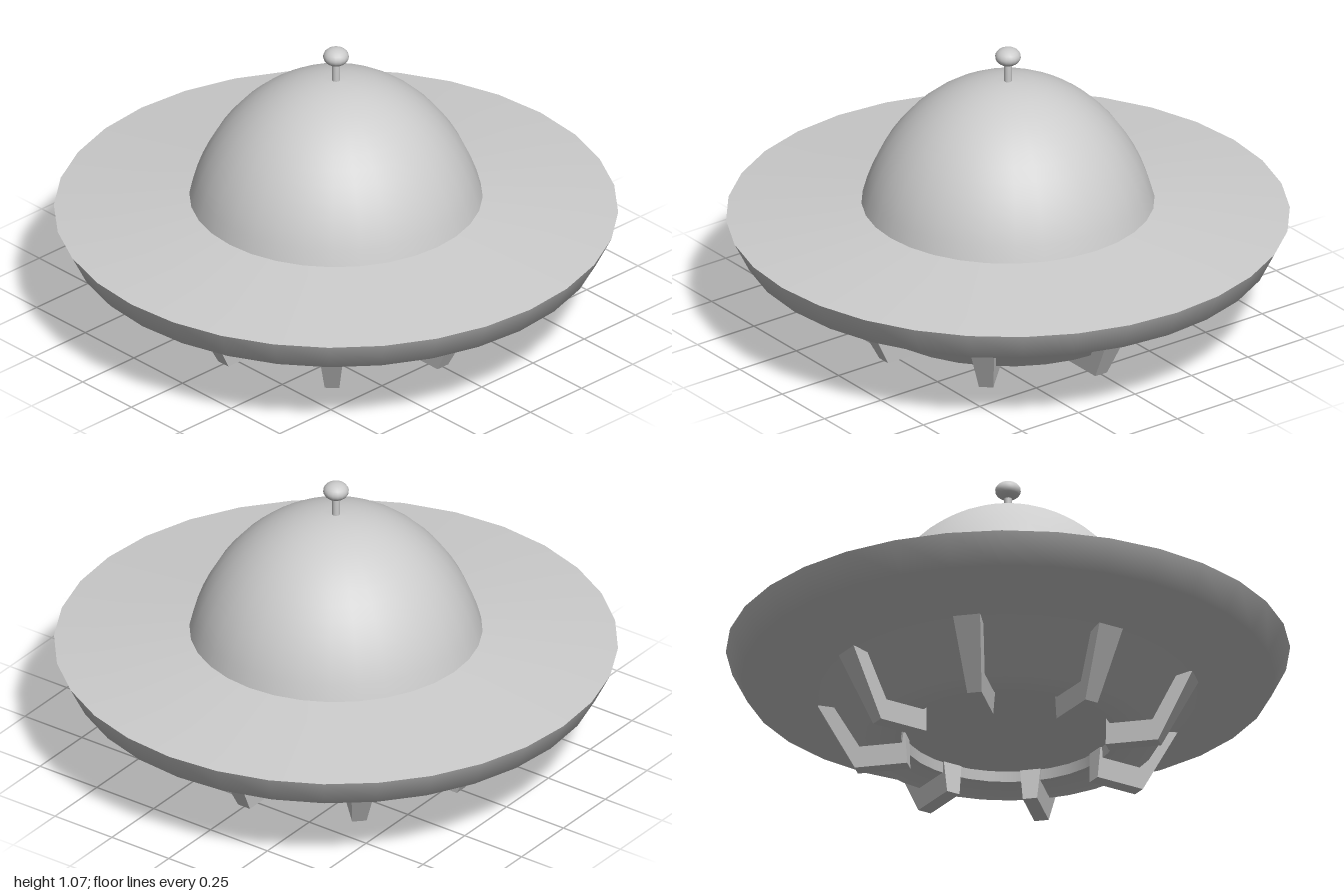
import * as THREE from 'three';

const SIDES = 32;

export function createModel() {
  const model = new THREE.Group();
  const material = new THREE.MeshStandardMaterial({ color: 0xcccccc, side: THREE.DoubleSide });

  const add = (name, geometry, parent = model) => {
    const mesh = new THREE.Mesh(geometry, material);
    mesh.name = name;
    parent.add(mesh);
    return mesh;
  };
  // Profiles run from bottom to top as [radius, y]
  const lathe = (name, profile, sides = SIDES) =>
    add(name, new THREE.LatheGeometry(profile.map(([r, y]) => new THREE.Vector2(r, y)), sides));

  // Saucer body, split where the edges are sharp
  lathe('bellyRecess', [[0, 0.115], [0.375, 0.115]]);
  lathe('bellyRecessWall', [[0.375, 0.115], [0.38, 0.077]]);
  lathe('lowerHull', [[0.38, 0.077], [0.535, 0.077], [0.625, 0.232], [0.945, 0.308], [1, 0.418]]);
  lathe('upperHull', [[1, 0.418], [0.51, 0.474]]);

  // Dome: the upper part of a stretched sphere
  const dome = [];
  const start = Math.asin((0.474 - 0.3) / 0.643);
  for (let i = 0; i <= 14; i++) {
    const a = start + (Math.PI / 2 - start) * (i / 14);
    dome.push([Math.max(0, 0.54 * Math.cos(a)), 0.3 + 0.643 * Math.sin(a)]);
  }
  lathe('dome', dome);

  // Antenna
  const stem = add('antennaStem', new THREE.CylinderGeometry(0.014, 0.014, 0.12, 12));
  stem.position.y = 0.97;
  const knob = add('antennaKnob', new THREE.SphereGeometry(0.046, 16, 12));
  knob.scale.y = 0.72;
  knob.position.y = 1.038;

  // Leg: an L-shaped outline hugging the hull, tapering in width towards the foot
  const outline = [[0.36, 0], [0.55, 0], [0.68, 0.244], [0.6, 0.244], [0.515, 0.085], [0.4, 0.085], [0.375, 0.117], [0.365, 0.117]];
  const shape = new THREE.Shape(outline.map(([r, y]) => new THREE.Vector2(r, y)));
  const legGeometry = new THREE.ExtrudeGeometry(shape, { depth: 1, bevelEnabled: false });
  legGeometry.translate(0, 0, -0.5);
  const p = legGeometry.attributes.position;
  for (let i = 0; i < p.count; i++) {
    p.setZ(i, p.getZ(i) * (0.052 + 0.19 * p.getY(i)));
  }
  legGeometry.computeVertexNormals();

  const legs = new THREE.Group();
  legs.name = 'landingLegs';
  model.add(legs);
  for (let i = 0; i < 8; i++) {
    add('leg' + (i + 1), legGeometry, legs).rotation.y = (i * Math.PI) / 4;
  }

  return model;
}
